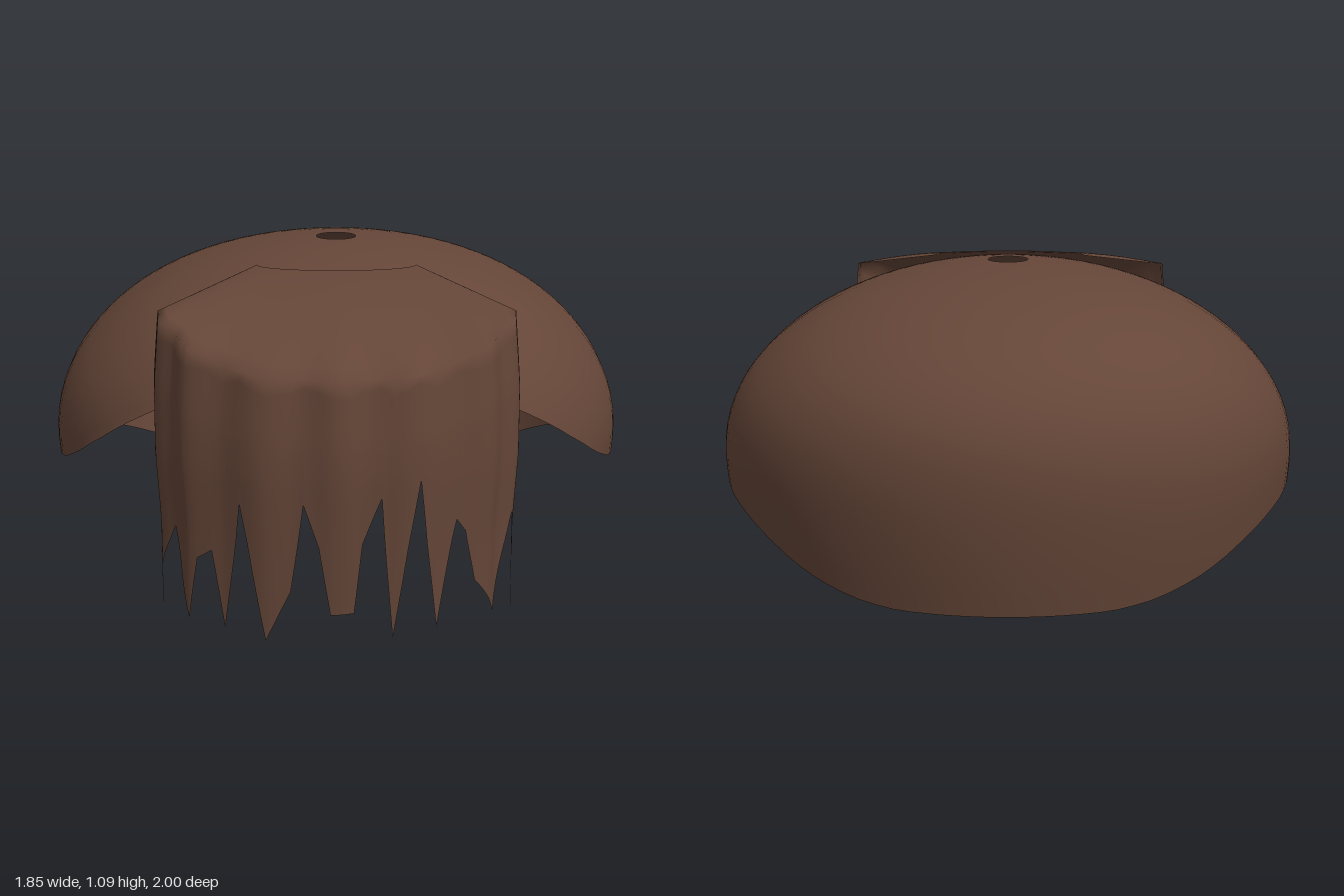
import * as THREE from 'three';
import { mergeVertices } from 'three/addons/utils/BufferGeometryUtils.js';

const { lerp } = THREE.MathUtils;

// Smooth surface from a rule: point(u index, v index) -> [x, y, z]
function surface(nu, nv, point) {
  const pos = [], index = [];
  for (let i = 0; i <= nu; i++) for (let j = 0; j <= nv; j++) pos.push(...point(i, j));
  for (let i = 0; i < nu; i++) for (let j = 0; j < nv; j++) {
    const a = i * (nv + 1) + j, b = a + nv + 1;
    index.push(a, a + 1, b, b, a + 1, b + 1);
  }
  const flat = new THREE.BufferGeometry();
  flat.setAttribute('position', new THREE.Float32BufferAttribute(pos, 3));
  flat.setIndex(index);
  const geometry = mergeVertices(flat, 1e-5);
  geometry.computeVertexNormals();
  return geometry;
}

// Linear lookup in a list of [key, value] pairs with rising keys
function lookup(pairs, x) {
  for (let i = 1; i < pairs.length; i++) {
    const [x0, y0] = pairs[i - 1], [x1, y1] = pairs[i];
    if (x <= x1) return lerp(y0, y1, Math.max(0, (x - x0) / (x1 - x0)));
  }
  return pairs[pairs.length - 1][1];
}

// Height of the cap's lower rim, from back (-1) to front (1)
const RIM = [[-1, 0.155], [-0.93, 0.157], [-0.86, 0.175], [-0.75, 0.22], [-0.58, 0.3], [-0.42, 0.35],
  [-0.23, 0.38], [0.15, 0.387], [0.33, 0.42], [0.47, 0.47], [0.6, 0.545], [0.8, 0.685], [0.92, 0.76], [1, 0.79]];

// Domed cap with a small opening at the crown, fuller at the back
function capGeometry() {
  const nu = 96, nv = 28, top = 1.087;
  return surface(nu, nv, (i, j) => {
    const angle = ((i % nu) / nu) * Math.PI * 2;
    const c = Math.cos(angle), back = Math.max(0, -c);
    const power = lerp(2.05, 2.6, back), middle = lerp(0.47, 0.53, back);
    const start = middle + (top - middle) * Math.pow(1 - 0.0049, 1 / power);
    const y = lerp(start, lookup(RIM, c), (j / nv) ** 2);
    const k = (y - middle) / (top - middle);
    const r = k > 0 ? Math.pow(1 - Math.pow(k, power), 0.5) : 1 - 0.06 * Math.pow((middle - y) / 0.375, 1.5);
    return [0.925 * Math.sin(angle) * r, y, -0.06 + 0.94 * c * r];
  });
}

// Jagged lower edge of the fringe: x, y
const TIPS = [[-0.545, 0], [-0.5, 0.34], [-0.44, 0.07], [-0.415, 0.27], [-0.38, 0.3], [-0.345, 0.06],
  [-0.285, 0.46], [-0.21, 0.04], [-0.14, 0.2], [-0.1, 0.47], [-0.055, 0.34], [-0.02, 0.13], [0.05, 0.135],
  [0.075, 0.35], [0.13, 0.49], [0.165, 0.05], [0.235, 0.54], [0.3, 0.07], [0.36, 0.4], [0.385, 0.36],
  [0.41, 0.2], [0.48, 0.075], [0.525, 0.37], [0.545, 0]];

// Fringe: a fan over the cap that bends into a rippled, hanging curtain
function fringeGeometry() {
  const steps = 7, topRows = 12, wallRows = 14;
  const tips = TIPS.map(([x, y]) => [Math.asin(x / 0.545), y]);
  return surface((tips.length - 1) * steps, topRows + wallRows, (i, j) => {
    const n = Math.min(Math.floor(i / steps), tips.length - 2), f = i / steps - n;
    const angle = lerp(tips[n][0], tips[n + 1][0], f), tipY = lerp(tips[n][1], tips[n + 1][1], f);
    const s = Math.sin(angle), c = Math.cos(angle);
    const crownY = 0.84 + 0.13 * Math.abs(s) ** 3;
    const ripple = 0.011 * Math.cos(angle * 14 + 0.5 * Math.sin(angle * 5)) * Math.min(1, c * 3);
    if (j <= topRows) {
      const v = j / topRows, w = ripple * v ** 4;
      return [
        lerp(0.25, 0.54, v) * s + w * s,
        lerp(1.05, crownY, v) + 0.15 * v * (1 - v) * c,
        lerp(0.27 + 0.1 * c, 0.6 + 0.375 * c, v) + w * c,
      ];
    }
    const v = (j - topRows) / wallRows;
    const y = lerp(crownY, tipY, v);
    const bulge = 0.015 * Math.min(1, (crownY - y) / 0.2) - 0.035 * Math.max(0, (0.55 - y) / 0.5);
    const w = ripple * (1 - 0.5 * v) + bulge;
    return [0.54 * s + (ripple + Math.max(0, bulge)) * s, y, 0.6 + (0.375 + w) * c];
  });
}

export function createModel() {
  const hair = new THREE.MeshStandardMaterial({ color: 0x654638, side: THREE.DoubleSide });
  hair.name = 'brown hair';
  const model = new THREE.Group();
  model.name = 'hairpiece';
  for (const [name, geometry] of [['hairCap', capGeometry()], ['fringe', fringeGeometry()]]) {
    const mesh = new THREE.Mesh(geometry, hair);
    mesh.name = name;
    model.add(mesh);
  }
  return model;
}
